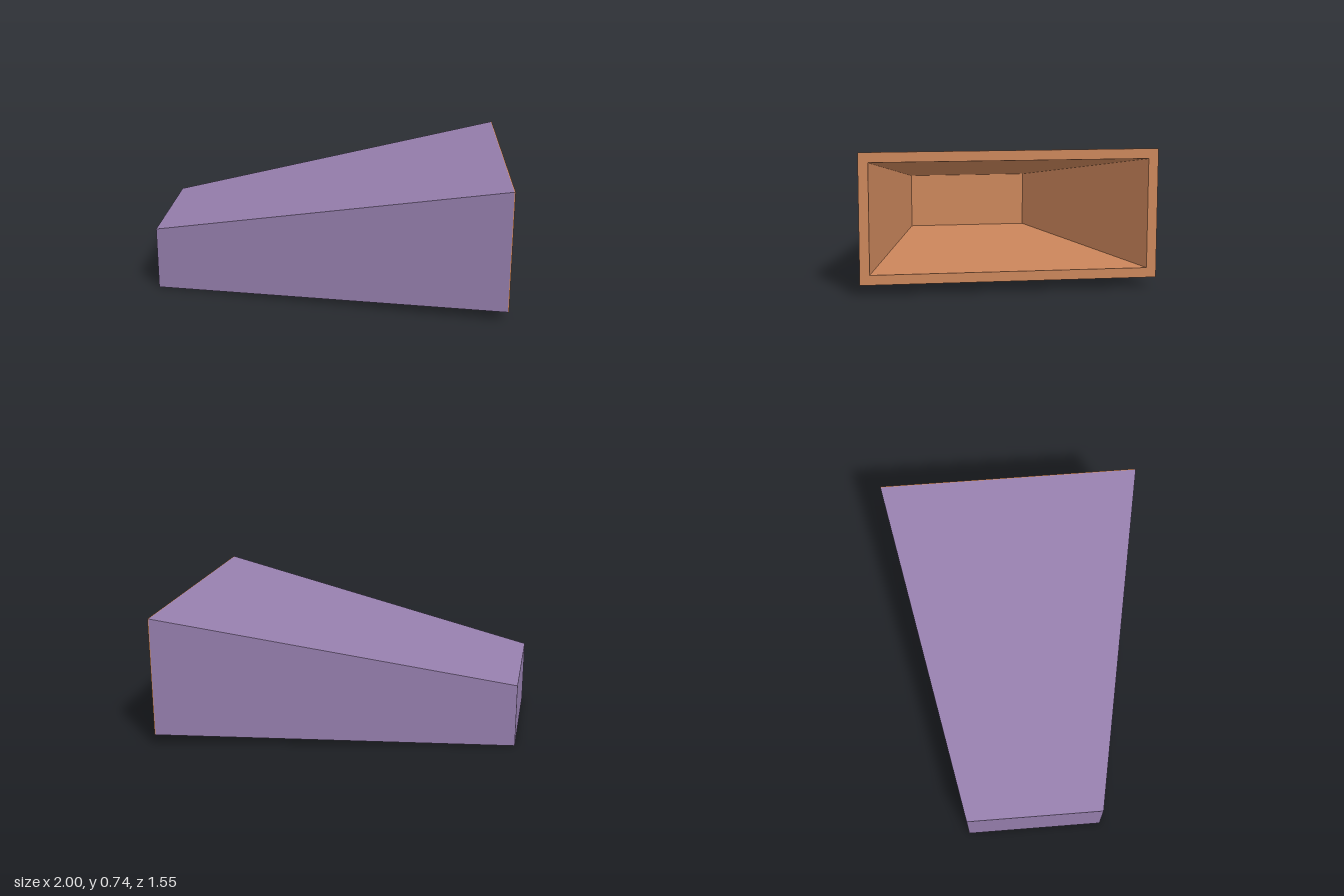
import * as THREE from 'three';

// Rectangular cross-section at x: four corners running round the x axis
const ring = (x, y0, y1, z) => [[x, y0, z], [x, y0, -z], [x, y1, -z], [x, y1, z]];

// Flat-sided mesh from a list of quads (counter-clockwise seen from the front)
function quadMesh(name, quads, material) {
  const pos = [];
  for (const [a, b, c, d] of quads) pos.push(...a, ...b, ...c, ...a, ...c, ...d);
  const geo = new THREE.BufferGeometry();
  geo.setAttribute('position', new THREE.Float32BufferAttribute(pos, 3));
  geo.computeVertexNormals();
  const mesh = new THREE.Mesh(geo, material);
  mesh.name = name;
  return mesh;
}

// Four walls joining two rings; faces point outwards when a is at lower x than b
const loft = (a, b) => a.map((p, i) => {
  const j = (i + 1) % 4;
  return [p, a[j], b[j], b[i]];
});

export function createModel() {
  const purple = new THREE.MeshStandardMaterial({ color: 0x957eac });
  const orange = new THREE.MeshStandardMaterial({ color: 0xcd875c });
  purple.name = 'purple shell';
  orange.name = 'orange lining';

  const narrow = ring(-1, 0, 0.36, 0.396);
  const wide = ring(0.994, 0.058, 0.74, 0.776);
  const rimOuter = ring(1, 0.058, 0.74, 0.776);
  const rimInner = ring(1, 0.11, 0.688, 0.725);
  const innerEnd = ring(-0.995, 0.004, 0.358, 0.39);

  const group = new THREE.Group();
  group.name = 'taperedDuct';
  group.add(
    // Outer walls and closed narrow end
    quadMesh('outerShell', [...loft(narrow, wide), [...narrow].reverse()], purple),
    // Thin lip and flat frame round the open end
    quadMesh('rim', [...loft(wide, rimOuter), ...loft(rimOuter, rimInner)], orange),
    // Inside walls facing inwards, and the inner end wall
    quadMesh('lining', [...loft(rimInner, innerEnd), innerEnd], orange),
  );
  return group;
}
